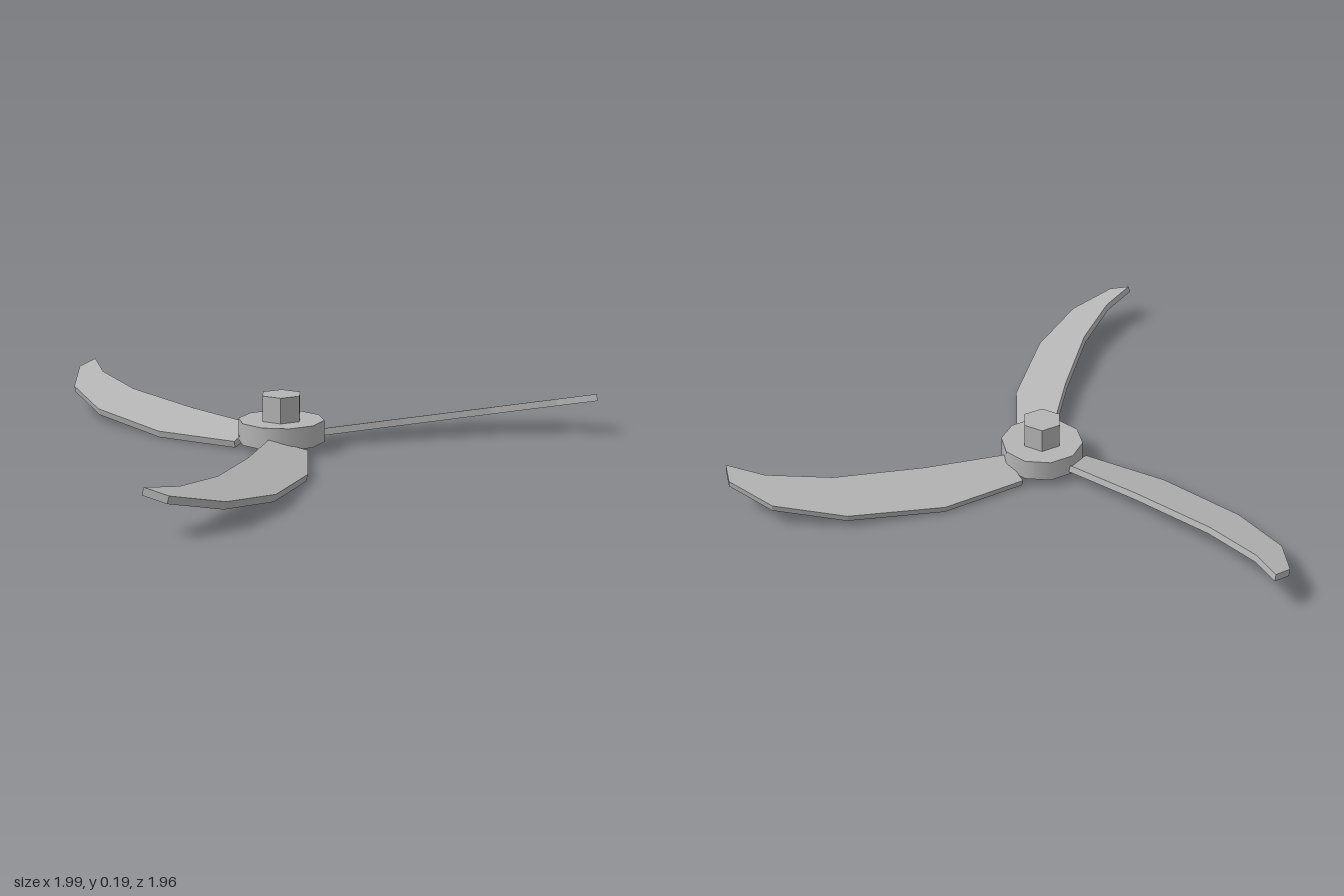
import * as THREE from 'three';

export function createModel() {
  const model = new THREE.Group();
  model.name = 'propeller';
  const metal = new THREE.MeshStandardMaterial({ color: 0xb4b4b4 });
  metal.name = 'grey metal';

  const rotor = new THREE.Group();
  rotor.name = 'rotor';
  rotor.position.set(-0.124, 0, 0.155);
  model.add(rotor);

  const add = (name, geometry, y) => {
    const mesh = new THREE.Mesh(geometry, metal);
    mesh.name = name;
    mesh.position.y = y;
    rotor.add(mesh);
    return mesh;
  };

  // Ten-sided hub with a hexagonal nut on top
  const hub = new THREE.CylinderGeometry(0.152, 0.152, 0.077, 10);
  hub.rotateY(Math.PI / 10);
  add('hub', hub, 0.0665);

  const nut = new THREE.CylinderGeometry(0.075, 0.075, 0.091, 6).toNonIndexed();
  nut.rotateY(Math.PI / 6);
  nut.computeVertexNormals();
  add('hexNut', nut, 0.1505);

  // Swept blade outline: trailing edge outward, leading edge back to the root
  const outline = [
    [0.136, -0.092], [0.459, -0.097], [0.8, 0], [1.024, 0.146], [1.119, 0.31],
    [1.099, 0.388], [0.989, 0.29], [0.769, 0.187], [0.444, 0.104], [0.136, 0.047],
  ].map(([x, z]) => new THREE.Vector2(x, -z));

  // Flat plate pitched about its own length
  const blade = new THREE.ExtrudeGeometry(new THREE.Shape(outline), { depth: 0.025, bevelEnabled: false });
  blade.rotateX(-Math.PI / 2);
  blade.rotateX(-Math.PI / 12);

  for (let i = 0; i < 3; i++) {
    add('blade' + (i + 1), blade, 0.027).rotation.y = (i * Math.PI * 2) / 3;
  }
  return model;
}
